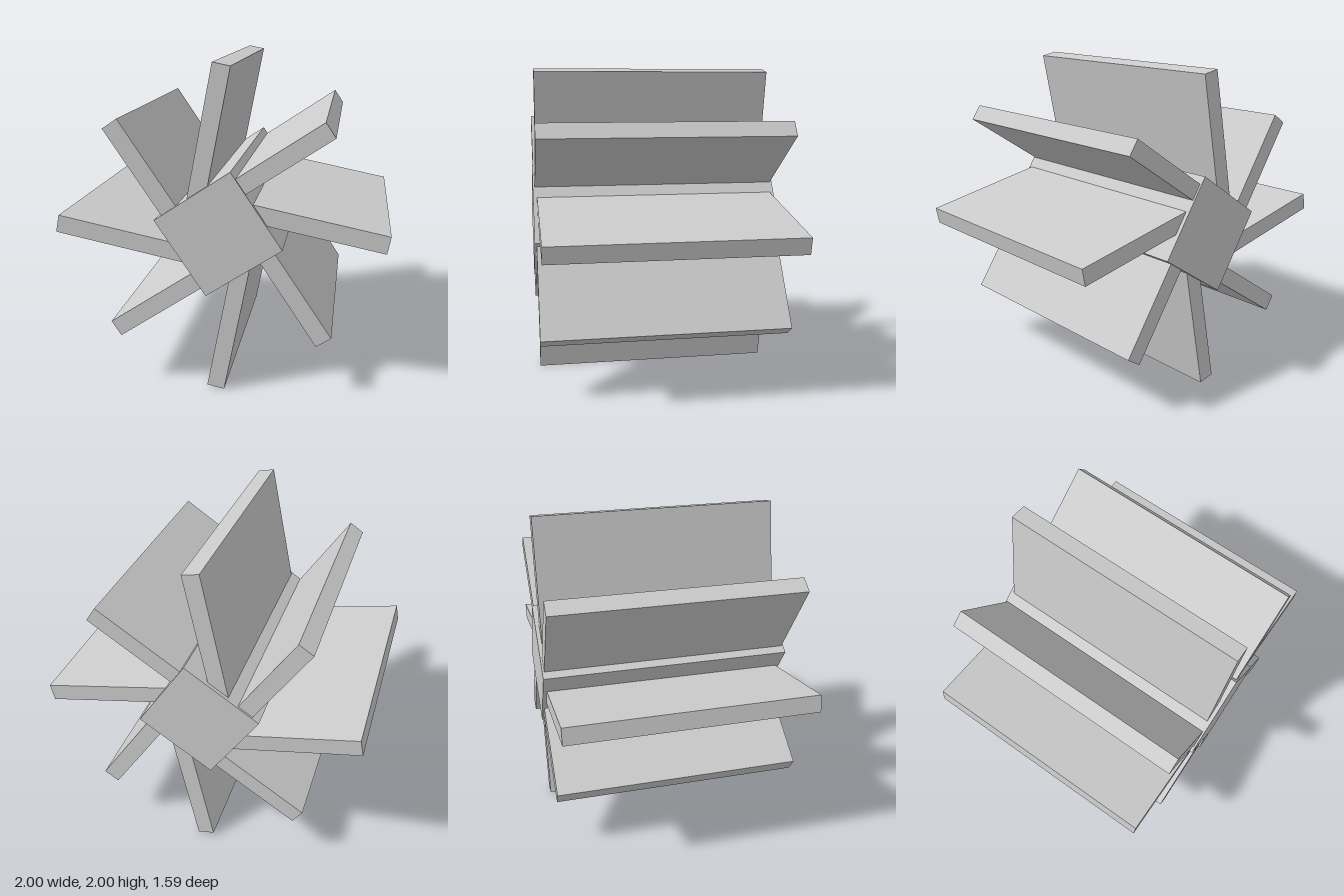
import * as THREE from 'three';

const TILT = THREE.MathUtils.degToRad(33.8);
const HUB = 0.55;

export function createModel() {
  const model = new THREE.Group();
  model.name = 'paddleWheel';
  const material = new THREE.MeshStandardMaterial({ color: 0xcccccc, flatShading: true });

  // Wheel turns about the z axis, its centre one unit above the ground
  const wheel = new THREE.Group();
  wheel.name = 'wheel';
  wheel.position.y = 1;
  wheel.rotation.z = TILT;
  model.add(wheel);

  // Square hub
  const hub = new THREE.Mesh(new THREE.BoxGeometry(HUB, HUB, 1.59), material);
  hub.name = 'hub';
  wheel.add(hub);

  // Flat blade from radius `inner` to `outer`, set off to one side of the axis
  function addBlade(name, angle, inner, outer, depth) {
    const geometry = new THREE.BoxGeometry(outer - inner, 0.107, depth);
    geometry.translate((inner + outer) / 2, 0.17, 0);
    const blade = new THREE.Mesh(geometry, material);
    blade.name = name;
    blade.rotation.z = angle;
    wheel.add(blade);
  }

  // Four blades square to the hub faces, four turned halfway between
  for (let i = 0; i < 4; i++) {
    const angle = (i * Math.PI) / 2;
    addBlade('straightBlade', angle, 0.2, 0.885, 1.565);
    addBlade('diagonalBlade', angle + Math.PI / 4, 0.12, 0.974, 1.54);
  }
  return model;
}
